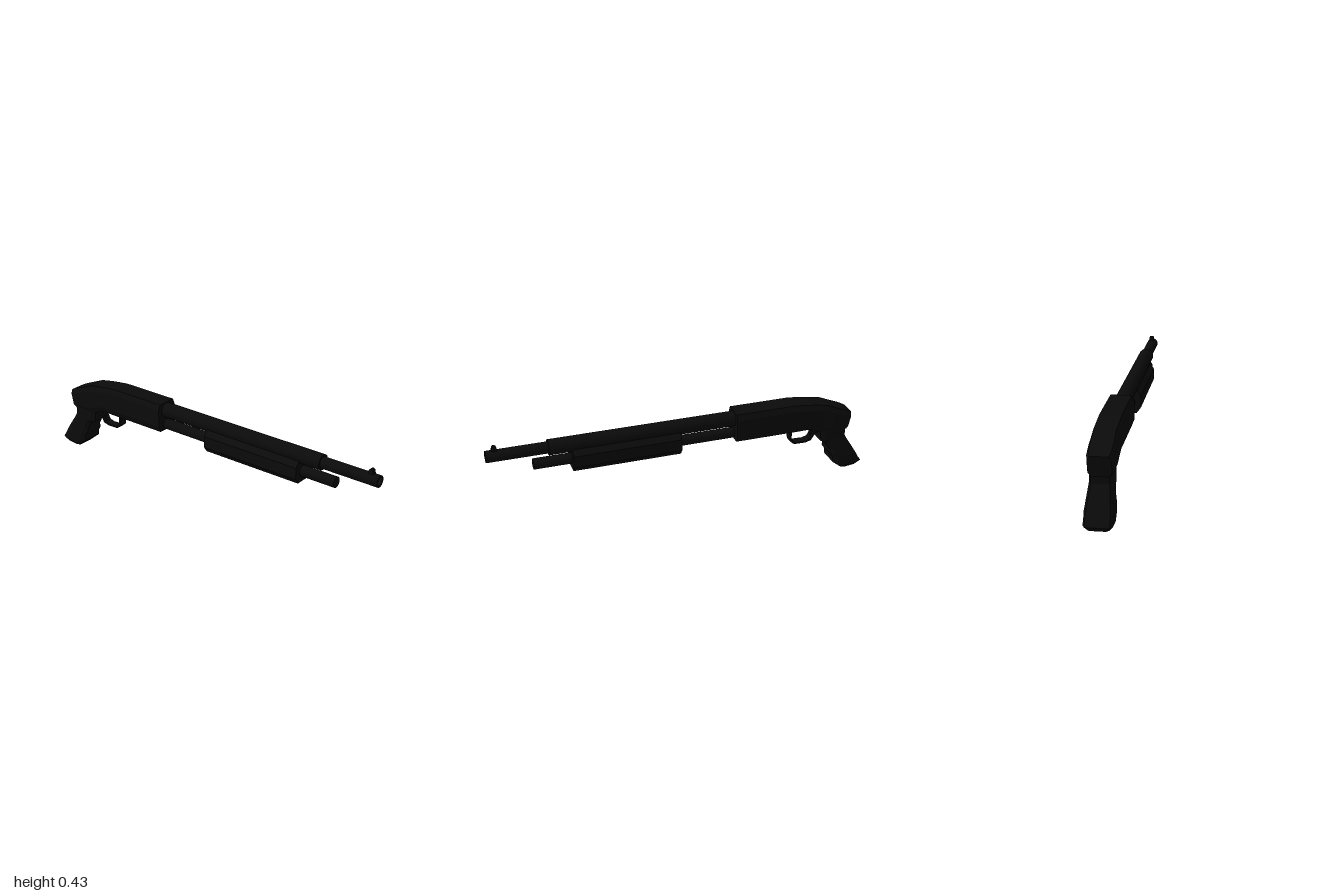
import * as THREE from 'three';
import { toCreasedNormals } from 'three/addons/utils/BufferGeometryUtils.js';

const black = new THREE.MeshStandardMaterial({ color: 0x0b0b0b });
black.name = 'matte black';

// Faceted octagonal loft. Each section: [ax, ay, bx, by, halfWidth], from edge a to edge b.
function loft(sections, inset = 0.012, cut = 0.2) {
  const rings = sections.map(([ax, ay, bx, by, w]) => {
    const n = w - inset;
    return [[0, n], [0, -n], [cut, -w], [1 - cut, -w], [1, -n], [1, n], [1 - cut, w], [cut, w]]
      .map(([t, z]) => [ax + (bx - ax) * t, ay + (by - ay) * t, z]);
  });
  const p = [];
  const tri = (a, b, c) => p.push(...a, ...b, ...c);
  for (let k = 0; k < rings.length - 1; k++) {
    for (let i = 0; i < 8; i++) {
      const j = (i + 1) % 8;
      tri(rings[k][i], rings[k][j], rings[k + 1][j]);
      tri(rings[k][i], rings[k + 1][j], rings[k + 1][i]);
    }
  }
  const first = rings[0], last = rings[rings.length - 1];
  for (let i = 1; i < 7; i++) {
    tri(first[0], first[i + 1], first[i]);
    tri(last[0], last[i], last[i + 1]);
  }
  const g = new THREE.BufferGeometry();
  g.setAttribute('position', new THREE.Float32BufferAttribute(p, 3));
  g.computeVertexNormals();
  return g;
}

// Tube along x with an optional bore at its far end
function tube(x0, x1, y, r, bore = 0) {
  const L = x1 - x0;
  const pts = [[0, 0], [r, 0], [r, L]];
  if (bore) pts.push([bore, L], [bore, L - 0.1], [0, L - 0.1]);
  else pts.push([0, L]);
  const g = new THREE.LatheGeometry(pts.map(q => new THREE.Vector2(...q)), 20);
  g.rotateZ(-Math.PI / 2).translate(x0, y, 0);
  return toCreasedNormals(g, 0.6);
}

// Flat side outline extruded symmetrically across z
function plate(points, width) {
  const g = new THREE.ExtrudeGeometry(new THREE.Shape(points.map(q => new THREE.Vector2(...q))),
    { depth: width, bevelEnabled: false });
  return g.translate(0, 0, -width / 2);
}

export function createModel() {
  const model = new THREE.Group();
  const add = (name, geometry) => {
    const mesh = new THREE.Mesh(geometry, black);
    mesh.name = name;
    model.add(mesh);
  };

  add('receiver', loft([
    [-0.905, 0.235, -0.927, 0.335, 0.054],
    [-0.87, 0.238, -0.895, 0.35, 0.062],
    [-0.80, 0.238, -0.835, 0.374, 0.064],
    [-0.75, 0.243, -0.78, 0.398, 0.062],
    [-0.69, 0.27, -0.70, 0.412, 0.063],
    [-0.60, 0.27, -0.60, 0.424, 0.064],
    [-0.275, 0.27, -0.275, 0.424, 0.064],
  ]));

  // Grip with finger swells, flaring toward the butt
  add('grip', loft([
    [-0.915, 0.30, -0.76, 0.28, 0.053],
    [-0.90, 0.245, -0.755, 0.235, 0.055],
    [-0.898, 0.20, -0.757, 0.188, 0.055],
    [-0.912, 0.175, -0.79, 0.172, 0.057],
    [-0.935, 0.14, -0.815, 0.13, 0.061],
    [-0.95, 0.115, -0.815, 0.105, 0.064],
    [-0.965, 0.09, -0.832, 0.08, 0.067],
    [-0.982, 0.06, -0.834, 0.05, 0.067],
    [-1.0, 0.034, -0.87, 0.022, 0.067],
    [-0.985, 0.013, -0.892, 0.002, 0.05],
  ]));

  add('barrelSleeve', tube(-0.30, 0.693, 0.38, 0.04));
  add('barrel', tube(0.60, 1.0, 0.38, 0.03, 0.022));
  add('magazineTube', tube(-0.30, 0.772, 0.30, 0.028));
  add('pump', loft([
    [0.02, 0.244, 0.02, 0.365, 0.058],
    [0.58, 0.244, 0.58, 0.365, 0.058],
  ], 0.022, 0.25));

  add('frontSight', plate([[0.94, 0.405], [0.97, 0.405], [0.965, 0.428], [0.958, 0.433],
    [0.95, 0.433], [0.943, 0.426]], 0.022));

  // Trigger guard strip: outer edge out, inner edge back
  add('triggerGuard', plate([
    [-0.76, 0.235], [-0.735, 0.225], [-0.712, 0.188], [-0.68, 0.179], [-0.615, 0.181],
    [-0.592, 0.20], [-0.588, 0.25], [-0.565, 0.275], [-0.60, 0.275], [-0.599, 0.208],
    [-0.619, 0.19], [-0.678, 0.188], [-0.704, 0.196], [-0.727, 0.234], [-0.74, 0.27],
  ], 0.045));
  add('trigger', plate([[-0.72, 0.275], [-0.727, 0.24], [-0.718, 0.205], [-0.708, 0.205],
    [-0.712, 0.24], [-0.695, 0.275]], 0.018));

  return model;
}
